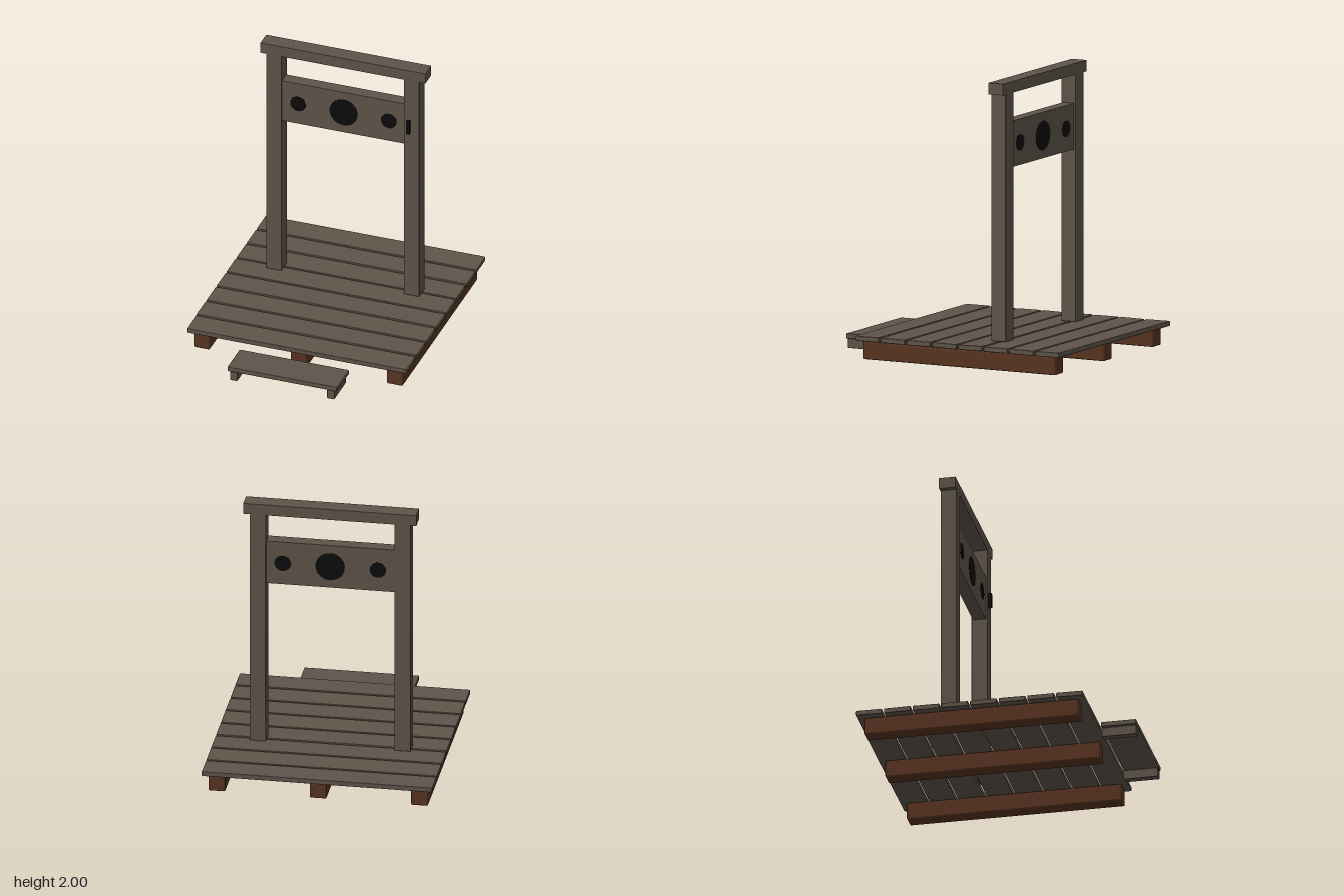
import * as THREE from 'three';
import { RoundedBoxGeometry } from 'three/addons/geometries/RoundedBoxGeometry.js';

const mat = (name, color) => {
  const m = new THREE.MeshStandardMaterial({ color });
  m.name = name;
  return m;
};

export function createModel() {
  const group = new THREE.Group();
  const wood = mat('greyBrownWood', 0x5f544a);
  const joistWood = mat('redBrownWood', 0x583420);
  const black = mat('black', 0x0c0c0c);

  // Timber given by its low and high limits on each axis, with a small worn bevel
  const timber = (name, [x0, x1], [y0, y1], [z0, z1], material, bevel = 0.006) => {
    const size = [x1 - x0, y1 - y0, z1 - z0];
    const geo = bevel
      ? new RoundedBoxGeometry(...size, 1, bevel)
      : new THREE.BoxGeometry(...size);
    const mesh = new THREE.Mesh(geo, material);
    mesh.name = name;
    mesh.position.set((x0 + x1) / 2, (y0 + y1) / 2, (z0 + z1) / 2);
    group.add(mesh);
    return mesh;
  };

  // Joists under the platform
  for (const x of [-0.718, 0, 0.715])
    timber('joist', [x - 0.06, x + 0.06], [0.005, 0.13], [-0.905, 0.627], joistWood, 0.01);

  // Deck planks, each laid a little unevenly
  const tilts = [0.008, -0.01, 0.006, 0.012, -0.012, 0.006, -0.008, 0.008];
  tilts.forEach((tilt, i) => {
    const z = -0.861 + i * 0.2045;
    const plank = timber('deckPlank', [-0.816, 0.814], [0.132, 0.168], [z - 0.095, z + 0.095], wood);
    plank.rotation.x = tilt;
  });

  // Upright posts and the beam across their tops
  timber('rightPost', [-0.572, -0.456], [0.168, 1.95], [-0.4, -0.285], wood);
  timber('leftPost', [0.452, 0.568], [0.168, 1.955], [-0.4, -0.284], wood);
  timber('topBeam', [-0.612, 0.612], [1.92, 2], [-0.402, -0.285], wood, 0);

  // Restraint board between the posts
  timber('restraintBoard', [-0.46, 0.456], [1.39, 1.715], [-0.388, -0.298], wood, 0);

  // Dark neck and wrist openings, showing on both faces of the board
  for (const [name, x, r] of [['wristHole', -0.338, 0.058], ['neckHole', 0, 0.104], ['wristHole', 0.336, 0.058]]) {
    const hole = new THREE.Mesh(new THREE.CylinderGeometry(r, r, 0.094, 32), black);
    hole.name = name;
    hole.rotation.x = Math.PI / 2;
    hole.position.set(x, 1.551, -0.343);
    group.add(hole);
  }

  // Latch on the front of the left post
  timber('latch', [0.476, 0.501], [1.492, 1.597], [-0.29, -0.262], black, 0);

  // Low step in front of the platform
  timber('stepTread', [-0.406, 0.406], [0.07, 0.106], [0.708, 0.96], wood);
  for (const s of [-1, 1])
    timber('stepLeg', [s * 0.36 - 0.028, s * 0.36 + 0.028], [0.005, 0.074], [0.71, 0.958], wood);

  // Bring the lowest timber down to the ground
  for (const part of group.children)
    if (part.name === 'joist' || part.name === 'stepLeg') part.position.y -= 0.005;
  return group;
}
